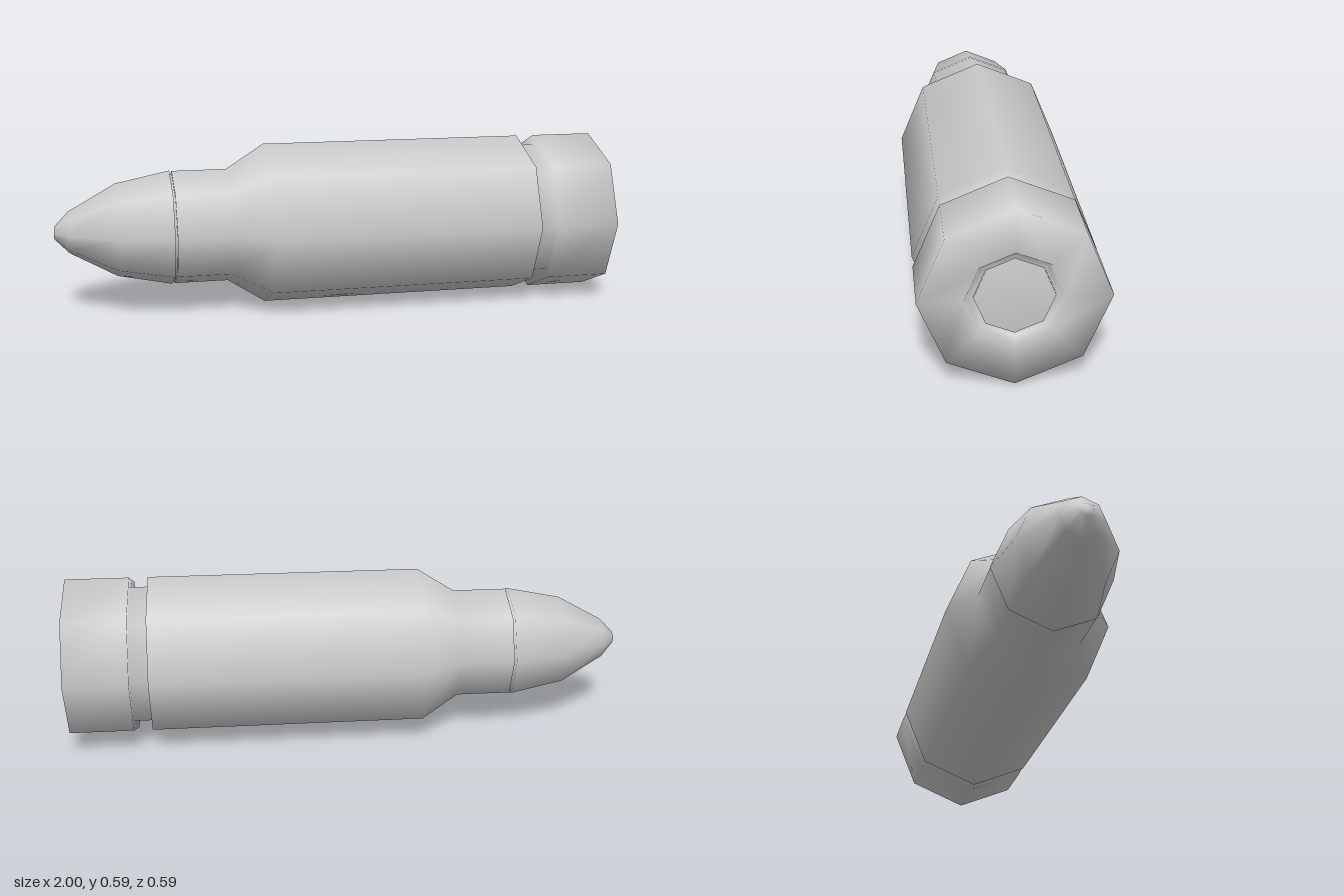
import * as THREE from 'three';

const SIDES = 8;
const RADIUS = 0.293;

// Eight-sided smooth lathe along x; profile rows are [x, radius], from nose to base
function turned(name, profile, material) {
  const points = profile.map(([x, r]) => new THREE.Vector2(r, x));
  const geometry = new THREE.LatheGeometry(points, SIDES);
  geometry.rotateZ(-Math.PI / 2);
  const mesh = new THREE.Mesh(geometry, material);
  mesh.name = name;
  return mesh;
}

export function createModel() {
  const model = new THREE.Group();
  model.name = 'cartridge';
  const material = new THREE.MeshStandardMaterial({ color: 0xcccccc });

  // Pointed bullet with a short shank seated in the neck
  model.add(turned('bullet', [
    [-1, 0], [-1, 0.022], [-0.95, 0.075], [-0.785, 0.168],
    [-0.592, 0.208], [-0.592, 0.196], [-0.56, 0.196],
  ], material));

  // Casing: neck, shoulder, body, extraction groove, rim and primer pocket
  model.add(turned('casing', [
    [-0.584, 0.19], [-0.584, 0.206], [-0.39, 0.206], [-0.255, RADIUS],
    [0.71, RADIUS], [0.71, 0.257], [0.775, 0.257], [0.775, RADIUS],
    [1, RADIUS], [1, 0.153], [0.975, 0.14], [0.975, 0.115],
  ], material));

  // Primer set into the base
  model.add(turned('primer', [
    [0.97, 0.123], [0.985, 0.123], [0.985, 0],
  ], material));

  model.position.y = RADIUS;
  return model;
}
